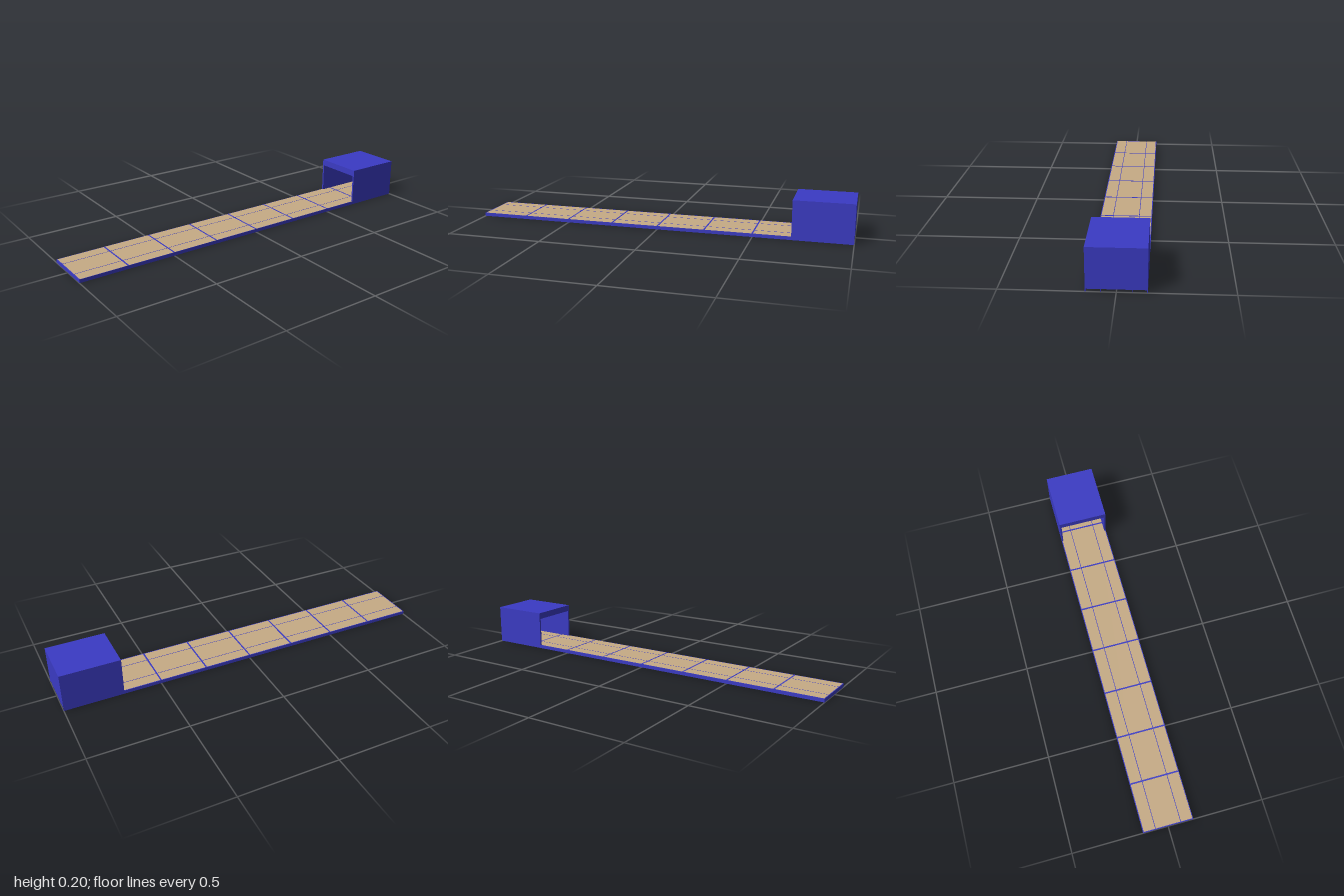
import * as THREE from 'three';

export function createModel() {
  const model = new THREE.Group();
  const blue = new THREE.MeshStandardMaterial({ color: 0x3b3bc4 });
  const tan = new THREE.MeshStandardMaterial({ color: 0xc6ab85 });

  // Box given by its lower and upper limits on each axis
  function block(name, material, [x0, x1], [y0, y1], [z0, z1], parent = model) {
    const mesh = new THREE.Mesh(new THREE.BoxGeometry(x1 - x0, y1 - y0, z1 - z0), material);
    mesh.position.set((x0 + x1) / 2, (y0 + y1) / 2, (z0 + z1) / 2);
    mesh.name = name;
    parent.add(mesh);
  }

  const W = 0.131, deckTop = 0.018, deckBottom = 0.013;
  const frameTop = deckTop + 0.0003; // steel shows just above the boards

  // Timber deck
  block('deck', tan, [-W + 0.002, W - 0.002], [deckBottom, deckTop], [-0.998, 0.996]);

  // Frame: side rails, inner rails, cross members and front edge
  const frame = new THREE.Group();
  frame.name = 'frame';
  model.add(frame);
  for (const s of [-1, 1]) {
    const edge = s * (W - 0.002), inner = s * 0.066;
    block('sideRail', blue, [edge - 0.002, edge + 0.002], [0, deckTop], [-1, 1], frame);
    block('innerRail', blue, [inner - 0.0015, inner + 0.0015], [0, frameTop], [-1, 1], frame);
  }
  for (let i = -3; i <= 3; i++) {
    const z = i * 0.25;
    block('crossMember', blue, [-W, W], [0.003, frameTop], [z - 0.004, z + 0.004], frame);
  }
  block('frontEdge', blue, [-W, W], [0, deckTop], [0.996, 1], frame);

  // Rear shelter, open towards the front
  const shelter = new THREE.Group();
  shelter.name = 'shelter';
  model.add(shelter);
  const back = -1, front = -0.695, top = 0.204, roofBottom = 0.17, wall = 0.009;
  block('roof', blue, [-W, W], [roofBottom, top], [back, front], shelter);
  block('backWall', blue, [-W, W], [deckBottom, roofBottom], [back, back + wall], shelter);
  block('rightWall', blue, [-W, -W + wall], [deckBottom, roofBottom], [back, front], shelter);
  block('leftWall', blue, [W - wall, W], [deckBottom, roofBottom], [back, front], shelter);

  return model;
}
